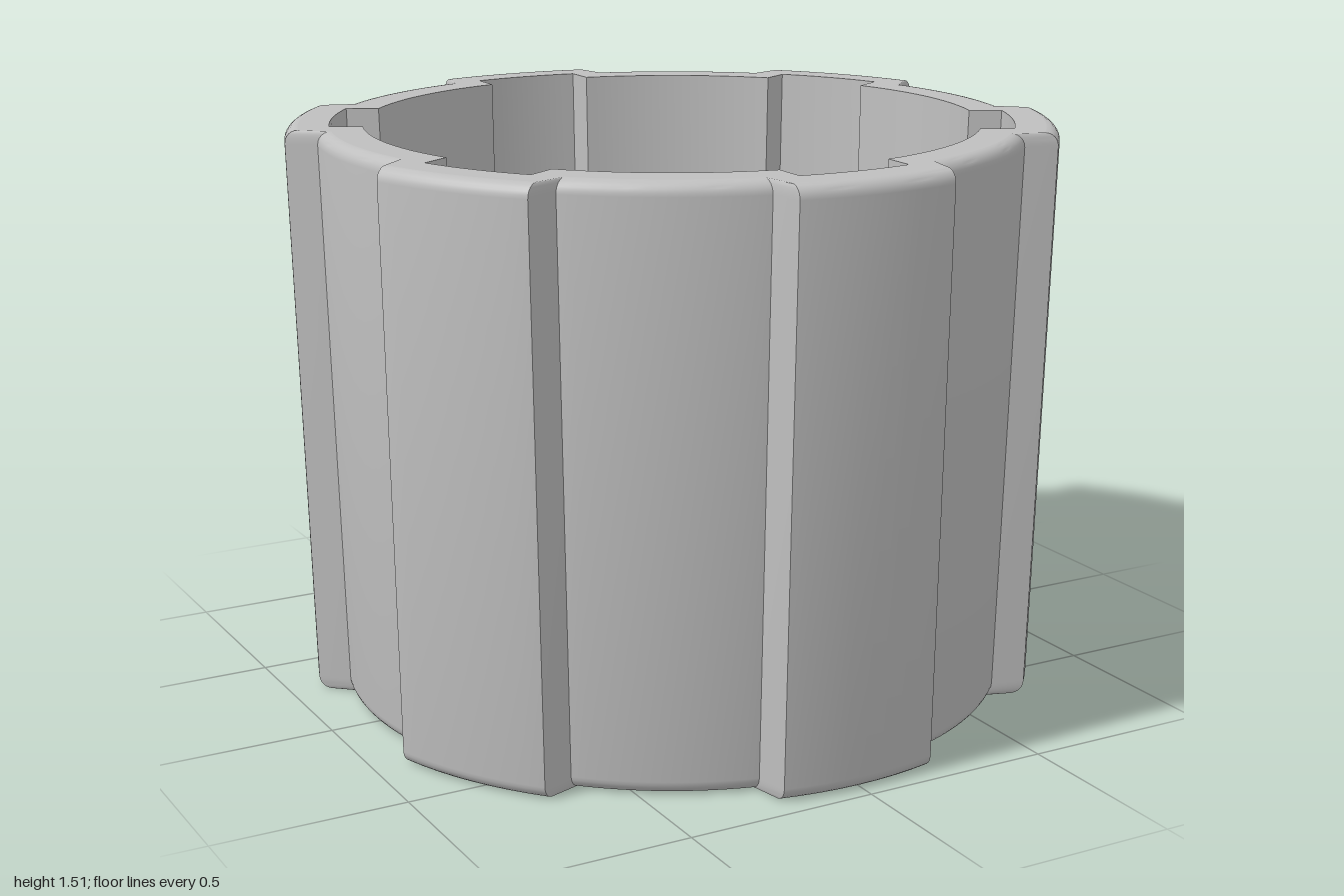
import * as THREE from 'three';
import { toCreasedNormals } from 'three/addons/utils/BufferGeometryUtils.js';

const HEIGHT = 1.51, FLOOR = 0.32, FILLET = 0.035, TAPER = 0.035 / HEIGHT;
const RECESS_R = 0.43, RECESS_Y = 0.16, RECESS_FILLET = 0.035;

// Ring of [x, z] points: a circle with six raised sectors of constant width
function contour(rBase, rRib, wBase, wRib) {
  const pts = [];
  const arc = (r, from, to, n) => {
    for (let i = 0; i <= n; i++) {
      const a = from + (to - from) * i / n;
      pts.push([r * Math.sin(a), r * Math.cos(a)]);
    }
  };
  const step = Math.PI / 3;
  const aRib = Math.asin(wRib / rRib), aBase = Math.asin(wBase / rBase);
  for (let k = 0; k < 6; k++) {
    arc(rRib, k * step - aRib, k * step + aRib, 8);
    arc(rBase, k * step + aBase, (k + 1) * step - aBase, 12);
  }
  return pts;
}

// Outer and inner outlines, pulled inward by an inset
const outer = (inset) => contour(0.92 - inset, 1 - inset, 0.23, 0.212);
const inner = (inset) => contour(0.8 - inset, 0.885 - inset, 0.15, 0.15);

// Skin through stacked rings, bottom to top
function loft(layers, inward) {
  const pos = [], idx = [], n = layers[0].ring.length;
  for (const { ring, y } of layers) for (const [x, z] of ring) pos.push(x, y, z);
  for (let j = 0; j < layers.length - 1; j++) {
    for (let i = 0; i < n; i++) {
      const a = j * n + i, b = j * n + (i + 1) % n, c = b + n, d = a + n;
      if (inward) idx.push(a, c, b, a, d, c);
      else idx.push(a, b, c, a, c, d);
    }
  }
  const g = new THREE.BufferGeometry();
  g.setAttribute('position', new THREE.Float32BufferAttribute(pos, 3));
  g.setIndex(idx);
  return toCreasedNormals(g, 0.5);
}

// Flat face filling a ring, optionally with a hole, facing up or down
function plate(ring, y, hole, down = false) {
  const s = down ? 1 : -1;
  const toPoints = (r) => r.map(([x, z]) => new THREE.Vector2(x, s * z));
  const shape = new THREE.Shape(toPoints(ring));
  if (hole) shape.holes.push(new THREE.Path(toPoints(hole)));
  return new THREE.ShapeGeometry(shape).rotateX(s * Math.PI / 2).translate(0, y, 0);
}

function circle(r, n) {
  return Array.from({ length: n }, (_, i) => {
    const a = i / n * Math.PI * 2;
    return [r * Math.sin(a), r * Math.cos(a)];
  });
}

export function createModel() {
  const group = new THREE.Group();
  const grey = new THREE.MeshStandardMaterial({ color: 0xbfbfbf });
  grey.name = 'plain grey';
  const add = (name, geometry) => {
    const mesh = new THREE.Mesh(geometry, grey);
    mesh.name = name;
    group.add(mesh);
  };

  // Tapered ribbed outside with rounded top and bottom edges
  const layers = [], steps = 6;
  for (let i = 0; i <= steps; i++) {
    const a = i / steps * Math.PI / 2;
    const y = FILLET * (1 - Math.sin(a));
    layers.push({ y, ring: outer((HEIGHT - y) * TAPER + FILLET * (1 - Math.cos(a))) });
  }
  // Order the lower rounding from the base upward
  layers.reverse();
  layers.forEach((l) => { l.y = Math.max(l.y, 0); });
  layers.sort((p, q) => p.y - q.y);
  for (let i = 0; i <= steps; i++) {
    const a = i / steps * Math.PI / 2;
    const y = HEIGHT - FILLET * (1 - Math.sin(a));
    layers.push({ y, ring: outer((HEIGHT - y) * TAPER + FILLET * (1 - Math.cos(a))) });
  }
  add('ribbedOuterWall', loft(layers, false));
  add('underside', plate(layers[0].ring, 0, null, true));

  // Rim and grooved inside wall
  const mouth = inner(0), base = inner((HEIGHT - FLOOR) * TAPER);
  add('topRim', plate(layers[layers.length - 1].ring, HEIGHT, mouth));
  add('groovedInnerWall', loft([{ ring: base, y: FLOOR }, { ring: mouth, y: HEIGHT }], true));

  // Inside floor with a round-edged central recess
  const n = 72;
  add('innerFloor', plate(base, FLOOR, circle(RECESS_R + RECESS_FILLET, n)));
  const recess = [{ ring: circle(RECESS_R, n), y: RECESS_Y }];
  for (let i = 0; i <= steps; i++) {
    const a = i / steps * Math.PI / 2;
    recess.push({
      ring: circle(RECESS_R + RECESS_FILLET * (1 - Math.cos(a)), n),
      y: FLOOR - RECESS_FILLET * (1 - Math.sin(a)),
    });
  }
  add('recessWall', loft(recess, true));
  add('recessFloor', plate(circle(RECESS_R, n), RECESS_Y));

  return group;
}
